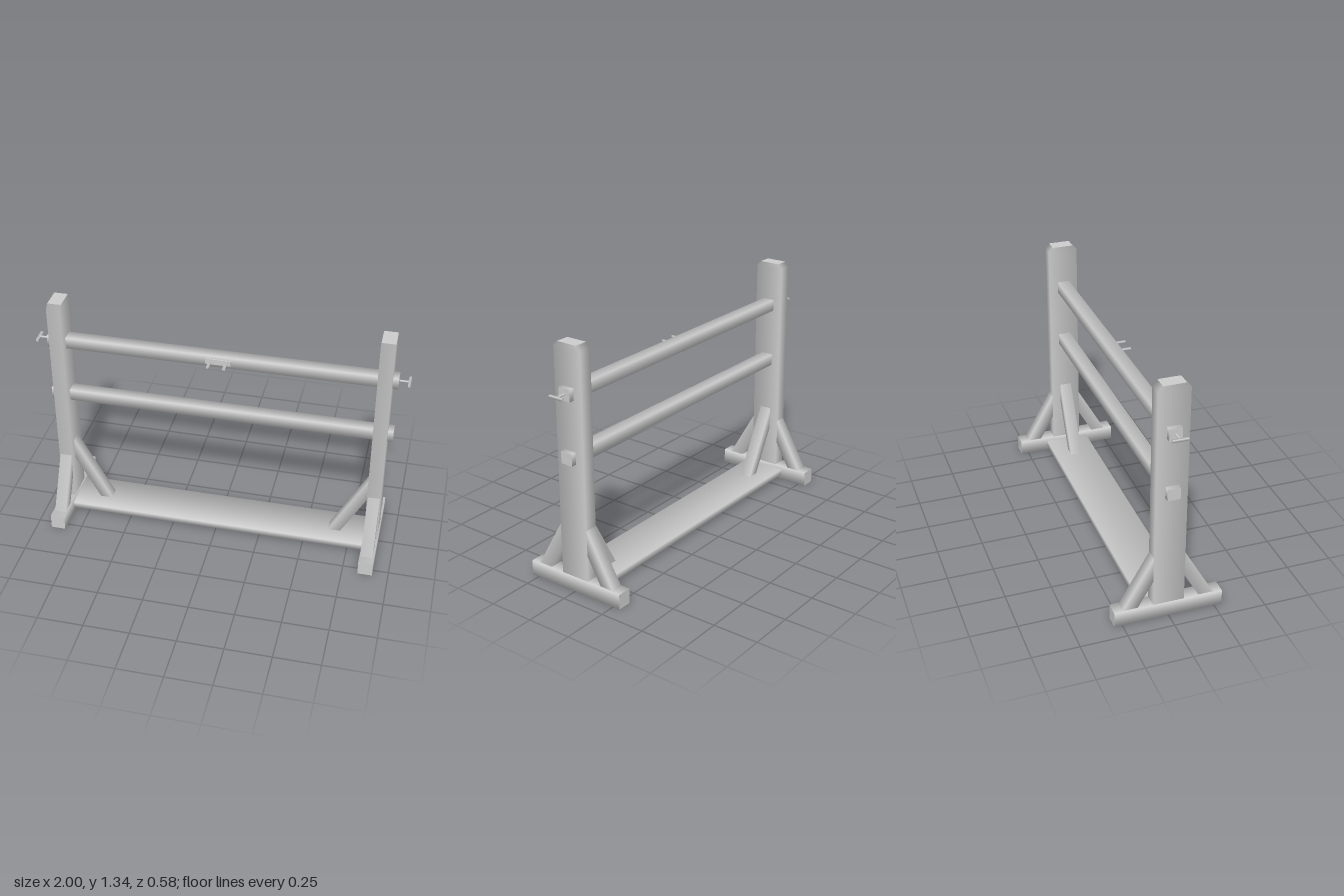
import * as THREE from 'three';

const material = new THREE.MeshStandardMaterial({ color: 0xcccccc });

// Timber of size w (x) by l (y, lengthwise) by d (z): flat ends, softly shaded sides
function timber(w, l, d, rings = 1) {
  const g = new THREE.CylinderGeometry(Math.SQRT1_2, Math.SQRT1_2, 1, 4, rings, false, Math.PI / 4);
  const p = g.attributes.position;
  for (let i = 0; i < p.count; i++) p.setXYZ(i, p.getX(i) * w, p.getY(i) * l, p.getZ(i) * d);
  return g;
}

// Post standing on y = 0 with its front and back top edges bevelled
function postGeometry(w, h, d, bevel) {
  const g = timber(w, h, d, 2).translate(0, h / 2, 0);
  const p = g.attributes.position;
  for (let i = 0; i < p.count; i++) {
    const y = p.getY(i);
    if (Math.abs(y - h / 2) < 0.01) p.setY(i, h - bevel);
    else if (y > h - 0.01) p.setZ(i, p.getZ(i) * (1 - 2 * bevel / d));
  }
  return g;
}

// Leaning brace with level ends, from y0 to y1, sheared by sx and sz per unit of height
function braceGeometry(w, d, y0, y1, sx, sz) {
  const g = timber(w, y1 - y0, d).translate(0, (y1 - y0) / 2, 0);
  g.applyMatrix4(new THREE.Matrix4().set(1, sx, 0, 0, 0, 1, 0, y0, 0, sz, 1, 0, 0, 0, 0, 1));
  return g;
}

export function createModel() {
  const model = new THREE.Group();
  model.name = 'railStand';

  const add = (name, geometry, x = 0, y = 0, z = 0) => {
    const mesh = new THREE.Mesh(geometry, material);
    mesh.name = name;
    mesh.position.set(x, y, z);
    model.add(mesh);
    return mesh;
  };
  const alongX = (l, h, d) => timber(h, l, d).rotateZ(Math.PI / 2);
  const alongZ = (w, h, l) => timber(w, l, h).rotateX(Math.PI / 2);

  // Long members
  add('baseBoard', alongX(1.68, 0.036, 0.25), 0, 0.043);
  add('upperRail', alongX(1.88, 0.064, 0.068), 0, 1.086);
  add('lowerRail', alongX(1.88, 0.064, 0.068), 0, 0.752);

  for (const s of [-1, 1]) {
    const side = s > 0 ? 'left' : 'right';

    // Foot and post
    add(side + 'Foot', alongZ(0.08, 0.083, 0.584), s * 0.875, 0.0415);
    add(side + 'Post', postGeometry(0.074, 1.335, 0.166, 0.024), s * 0.873);

    // Braces from the foot to the front and back of the post
    for (const f of [-1, 1]) {
      add(side + (f > 0 ? 'Front' : 'Back') + 'Brace',
        braceGeometry(0.064, 0.08, 0.08, 0.4, 0, -f * 0.565), s * 0.873, 0, f * 0.206);
    }
    // Brace from the board to the inner side of the post, its end showing below the board
    add(side + 'InnerBrace', braceGeometry(0.068, 0.066, 0.022, 0.445, s * 0.54, 0), s * 0.644);

    // T-shaped peg on the end of the upper rail
    add(side + 'PegShaft',
      new THREE.CylinderGeometry(0.006, 0.006, 0.06, 8).rotateZ(Math.PI / 2), s * 0.96, 1.087);
    add(side + 'PegBar', alongZ(0.013, 0.013, 0.084), s * 0.9935, 1.087);

    // Prong on the middle plate
    add(side + 'Prong', alongZ(0.014, 0.011, 0.064), s * 0.043, 1.087, 0.068);
  }

  // Plate on the front of the upper rail
  add('prongPlate', new THREE.BoxGeometry(0.136, 0.03, 0.01), 0, 1.086, 0.036);

  return model;
}
